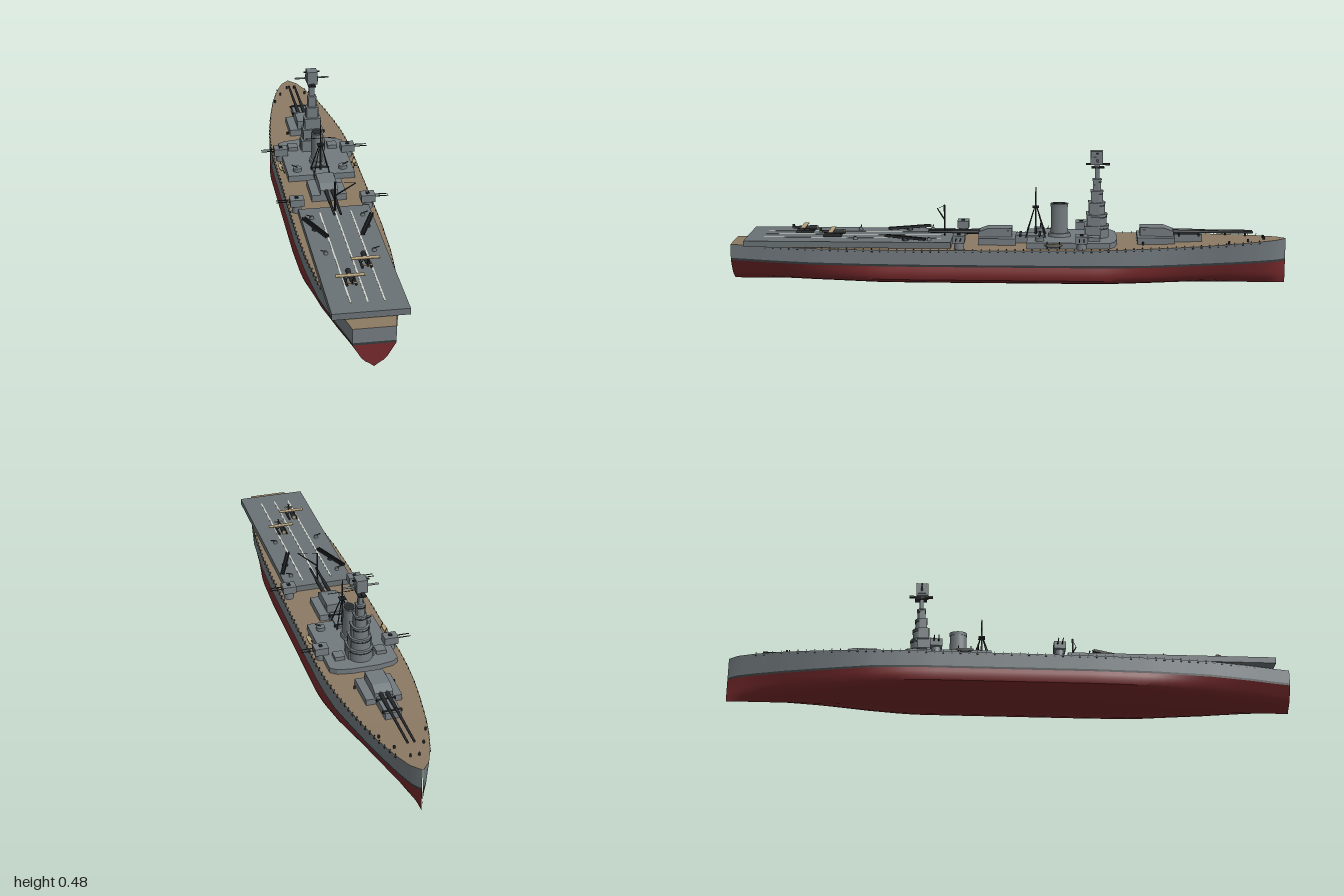
import * as THREE from 'three';
import { mergeGeometries, toCreasedNormals } from 'three/addons/utils/BufferGeometryUtils.js';

export function createModel() {
  const ship = new THREE.Group();
  ship.name = 'warship';
  const mat = (name, color) => Object.assign(new THREE.MeshStandardMaterial({ color }), { name });
  const grey = mat('navy grey', 0x737b7f), plate = mat('flight deck grey', 0x6a7275);
  const wood = mat('wooden deck', 0x8c7a63), red = mat('hull red', 0x76292b);
  const dark = mat('dark metal', 0x26292b), boot = mat('boot topping', 0x343a3c);
  const white = mat('deck marking', 0xd6d6cc), tan = mat('wing tan', 0xb3a07c);

  const add = (name, geo, m, parent = ship) => {
    const mesh = new THREE.Mesh(geo, m);
    mesh.name = name;
    parent.add(mesh);
    return mesh;
  };
  const group = (name, x, y, z, parent = ship) => {
    const g = new THREE.Group();
    g.name = name;
    g.position.set(x, y, z);
    parent.add(g);
    return g;
  };
  // Box given by its ranges
  const box = (x0, x1, y0, y1, z0, z1) =>
    new THREE.BoxGeometry(x1 - x0, y1 - y0, z1 - z0).translate((x0 + x1) / 2, (y0 + y1) / 2, (z0 + z1) / 2);
  // Round bar between two points
  const bar = (a, b, r, r2 = r, n = 8) => {
    const p = new THREE.Vector3(...a), q = new THREE.Vector3(...b), d = q.clone().sub(p);
    const g = new THREE.CylinderGeometry(r2, r, d.length(), n);
    g.applyQuaternion(new THREE.Quaternion().setFromUnitVectors(new THREE.Vector3(0, 1, 0), d.normalize()));
    return g.translate((p.x + q.x) / 2, (p.y + q.y) / 2, (p.z + q.z) / 2);
  };
  // Plan shape raised from y0 to y1 (shape +y points to the bow, -z)
  const raise = (shape, y0, y1) =>
    new THREE.ExtrudeGeometry(shape, { depth: y1 - y0, bevelEnabled: false, curveSegments: 10 })
      .rotateX(-Math.PI / 2).translate(0, y0, 0);

  // ---- Hull ----
  const table = (t) => (z) => {
    let i = 0;
    while (i < t.length - 2 && z > t[i + 1][0]) i++;
    const k = THREE.MathUtils.clamp((z - t[i][0]) / (t[i + 1][0] - t[i][0]), 0, 1);
    return THREE.MathUtils.lerp(t[i][1], t[i + 1][1], k);
  };
  const beam = table([[-1, .002], [-.97, .03], [-.9, .059], [-.8, .088], [-.7, .109], [-.6, .126], [-.5, .14],
    [-.4, .149], [-.3, .153], [.3, .153], [.5, .147], [.7, .131], [.85, .104], [.95, .08], [1, .07]]);
  const deckY = table([[-1, .164], [-.7, .155], [-.3, .145], [.4, .141], [1, .14]]);
  const full = table([[-1, 0], [-.8, .3], [-.35, 1], [.45, 1], [.8, .4], [1, 0]]);
  const flare = table([[-1, .75], [-.5, 1], [1, 1]]);
  const fine = [0, .2, .43, .6, .73, .88, 1], fat = [0, .65, .88, 1.01, 1.045, 1.025, 1];
  const levels = [.001, .012, .022, .035, .05, .068, .082];
  const underwater = (z) => levels.map((y, i) =>
    [beam(z) * flare(z) * THREE.MathUtils.lerp(fine[i], fat[i], full(z)), y]);
  const low = (z) => [beam(z) * flare(z), .082], mid = (z) => [beam(z) * (flare(z) + .03 * (1 - flare(z))), .09];
  const top = (z) => [beam(z), deckY(z)];
  const flip = (pts) => pts.map(([x, y]) => [-x, y]).reverse();
  const stations = [...Array.from({ length: 60 }, (_, i) => -1 + i / 30), 1];
  const skin = (section) => {
    const pos = [], index = [], rows = stations.map(section), n = rows[0].length;
    rows.forEach((row, i) => row.forEach(([x, y], j) => {
      pos.push(x, y, stations[i]);
      if (i < rows.length - 1 && j < n - 1) {
        const a = i * n + j, b = a + n;
        index.push(a, a + 1, b, a + 1, b + 1, b);
      }
    }));
    const g = new THREE.BufferGeometry();
    g.setAttribute('position', new THREE.Float32BufferAttribute(pos, 3));
    g.setIndex(index);
    g.computeVertexNormals();
    return toCreasedNormals(g, .6);
  };
  add('lowerHull', skin((z) => [...flip(underwater(z)).slice(0, -1), ...underwater(z)]), red);
  add('waterlineBand', mergeGeometries([skin((z) => [low(z), mid(z)]), skin((z) => flip([low(z), mid(z)]))]), boot);
  add('upperHull', mergeGeometries([skin((z) => [mid(z), top(z)]), skin((z) => flip([mid(z), top(z)]))]), grey);
  add('mainDeck', skin((z) => [top(z), [-beam(z), deckY(z)]]), wood);
  const transom = (pts) => new THREE.ShapeGeometry(
    new THREE.Shape([...pts, ...flip(pts)].map(([x, y]) => new THREE.Vector2(x, y)))).translate(0, 0, 1);
  add('lowerTransom', transom(underwater(1).slice(0)), red);
  add('transomBand', transom([low(1), mid(1)]), boot);
  add('upperTransom', transom([mid(1), top(1)]), grey);

  // Deck edge fittings, bollards
  const dots = [];
  for (const s of [-1, 1]) {
    for (let z = -.9; z < .9; z += .03) {
      const x = s * beam(z), y = deckY(z);
      dots.push(box(x - .0015, x + .0015, y - .008, y - .004, z - .003, z + .003));
      dots.push(box(x * .985 - .001, x * .985 + .001, y, y + .006, z - .001, z + .001));
    }
    for (const [x, z] of [[.08, -.79], [.015, -.92], [.07, -.485], [.05, -.86]])
      dots.push(new THREE.CylinderGeometry(.004, .004, .01, 8).translate(s * x, deckY(z) + .005, z));
  }
  add('deckFittings', mergeGeometries(dots), dark);

  // ---- Flight deck at the stern ----
  add('flightDeck', box(-.126, .126, .143, .165, .2, .942), plate);
  for (const x of [-.055, 0, .055]) add('deckStripe', box(x - .0025, x + .0025, .164, .1658, .24, .88), white);
  for (const s of [-1, 1]) {
    const c = group('catapult', s * .09, .175, .365);
    c.rotation.y = -s * .38;
    for (const x of [-.005, .005]) add('catapultRail', box(x - .002, x + .002, -.004, .005, -.08, .08), dark, c);
    add('catapultBed', box(-.006, .006, -.003, .001, -.08, .08), dark, c);
    add('catapultPivot', new THREE.CylinderGeometry(.01, .012, .008, 12).translate(0, -.006, 0), dark, c);
    for (const [x, z] of [[.082, .545], [.09, .28]]) {
      add('deckGunMount', new THREE.CylinderGeometry(.006, .008, .01, 10).translate(s * x, .17, z), grey);
      add('deckGun', bar([s * x, .175, z], [s * (x + .018), .18, z], .002), dark);
    }
  }

  // Floatplanes
  for (const [x, z] of [[.036, .635], [-.034, .745]]) {
    const p = group('floatplane', x, .165, z);
    add('fuselage', bar([0, .018, .045], [0, .018, -.045], .004, .009, 10), dark, p);
    add('engine', bar([0, .018, -.043], [0, .018, -.049], .0075, .0075, 10), tan, p);
    add('wing', box(-.048, .048, .023, .0255, -.009, .009), tan, p);
    add('tailplane', box(-.016, .016, .018, .02, .036, .045), tan, p);
    add('tailFin', box(-.001, .001, .018, .03, .036, .046), dark, p);
    for (const s of [-1, 1]) {
      add('planeFloat', bar([s * .015, .005, .03], [s * .015, .005, -.035], .004), dark, p);
      add('floatStrut', bar([s * .015, .005, 0], [s * .006, .02, 0], .0015, .0015, 5), dark, p);
    }
  }

  // ---- Main superstructure block with clipped bow corners ----
  const block = new THREE.Shape([[-.123, .07], [.123, .07], [.123, .365], [.1, .383], [.05, .392],
    [-.05, .392], [-.1, .383], [-.123, .365]].map(([x, y]) => new THREE.Vector2(x, y)));
  add('superstructure', raise(block, .14, .166), grey);

  // ---- Tower ----
  const dShape = (w, back) => {
    const s = new THREE.Shape();
    s.moveTo(-w, -back);
    s.lineTo(w, -back);
    s.lineTo(w, 0);
    s.absarc(0, 0, w, 0, Math.PI, false);
    s.lineTo(-w, -back);
    return s;
  };
  const tower = group('tower', 0, 0, -.32);
  [[.043, .165, .21], [.036, .21, .251], [.029, .251, .293], [.021, .293, .335], [.0145, .335, .377], [.0075, .377, .43]]
    .forEach(([w, y0, y1]) => {
      add('towerTier', raise(dShape(w, w), y0, y1), grey, tower);
      add('tierRim', raise(dShape(w + .002, w + .002), y1 - .005, y1), grey, tower);
      for (const s of [-1, 1]) add('tierSideHouse', box(s * w - .003, s * w + .003, y0, y1 - .008, -w * .3, w * .6), grey, tower);
      add('tierWindows', raise(dShape(w + .0006, w * .3), y1 - .014, y1 - .009), dark, tower);
    });
  add('topPlatform', box(-.014, .014, .416, .42, -.025, .02), dark, tower);
  add('directorHouse', box(-.019, .019, .43, .478, -.02, .024), grey, tower);
  add('directorCollar', box(-.022, .022, .437, .458, -.014, .014), grey, tower);
  add('rangefinder', bar([-.063, .448, 0], [.063, .448, 0], .0035), grey, tower);
  add('upperSight', box(-.03, .03, .47, .474, -.003, .003), dark, tower);
  add('directorVisor', box(-.006, .006, .427, .433, -.045, .04), dark, tower);

  // ---- Funnel ----
  const funnel = group('funnel', 0, 0, -.185);
  const oval = (g) => g.scale(.82, 1, 1.15);
  add('funnelPipe', oval(new THREE.CylinderGeometry(.026, .027, .112, 24).translate(0, .221, 0)), grey, funnel);
  add('funnelCap', oval(new THREE.CylinderGeometry(.028, .027, .012, 24).translate(0, .28, 0)), grey, funnel);
  add('funnelMouth', oval(new THREE.CylinderGeometry(.023, .023, .002, 24).translate(0, .2865, 0)), dark, funnel);
  add('funnelBase', oval(new THREE.CylinderGeometry(.034, .036, .014, 24).translate(0, .172, 0)), grey, funnel);

  // ---- Tripod mast and crane ----
  const mast = group('tripodMast', 0, 0, -.1);
  add('mastPole', bar([0, .165, 0], [0, .345, 0], .004, .002), dark, mast);
  for (const [x, z] of [[.03, .035], [-.03, .035], [.03, -.035], [-.03, -.035]])
    add('mastLeg', bar([x, .165, z], [0, .285, 0], .0025, .0015, 6), dark, mast);
  add('mastYard', bar([-.055, .298, 0], [.055, .298, 0], .0013, .0013, 6), dark, mast);
  add('mastPlatform', box(-.012, .012, .27, .274, -.012, .012), dark, mast);

  const crane = group('crane', 0, .165, .23);
  add('cranePost', bar([0, 0, 0], [0, .112, 0], .003), dark, crane);
  add('craneArm', bar([0, .058, 0], [.07, .112, .02], .003, .002), dark, crane);
  add('craneCable', bar([0, .11, 0], [.07, .112, .02], .0008, .0008, 5), dark, crane);

  // ---- Main gun turrets: dir is the way the barrels point along z ----
  for (const [z, dir, y] of [[-.53, -1, .15], [.04, 1, .143]]) {
    const t = group('mainTurret', 0, y, z);
    add('turretBase', box(-.063, .063, 0, .024, -.068, .065), grey, t);
    const side = new THREE.Shape([[-.055, 0], [.065, 0], [.065, .018], [.03, .031], [-.055, .031]]
      .map(([a, b]) => new THREE.Vector2(a, b)));
    const house = new THREE.ExtrudeGeometry(side, { depth: .064, bevelEnabled: false }).translate(0, 0, -.032);
    add('turretHouse', house.rotateY(-dir * Math.PI / 2).translate(0, .024, 0), grey, t);
    add('turretSight', box(-.037, .037, .042, .048, -dir * .04 - .005, -dir * .04 + .005), grey, t);
    add('forwardHouse', box(-.028, .028, 0, .03, -.168, -.068), grey, t);
    for (const zz of [-.155, -.085]) add('ventBand', box(-.034, .034, .024, .032, zz - .004, zz + .004), dark, t);
    for (const s of [-1, 1]) {
      const x = s * .0115;
      add('gunSleeve', bar([x, .037, dir * .06], [x, .037, dir * .16], .0075, .006, 12), dark, t);
      add('gunBarrel', bar([x, .037, dir * .15], [x, .037, dir * (dir < 0 ? .35 : .25)], .005, .004, 10), dark, t);
    }
  }

  // ---- Secondary turrets and boats on both sides ----
  for (const s of [-1, 1]) {
    for (const z of [-.265, .17]) {
      const t = group('sideTurret', s * .127, 0, z);
      add('sidePedestal', new THREE.CylinderGeometry(.016, .018, .03, 14).translate(0, .155, 0), grey, t);
      add('sideHouse', box(-.025, .025, .168, .195, -.021, .021), grey, t);
      add('sideHatch', box(-.006, .006, .195, .199, -.006, .006), dark, t);
      for (const g of [-.008, .008])
        add('sideBarrel', bar([s * .022, .185, g], [s * .073, .185, g], .0022, .0016, 6), dark, t);
    }
    const boat = group('lifeboat', s * .139, .162, -.165);
    add('boatHull', new THREE.SphereGeometry(1, 12, 6, 0, Math.PI * 2, Math.PI / 2, Math.PI / 2).scale(.008, .01, .032), grey, boat);
    add('boatCover', new THREE.CylinderGeometry(1, 1, .002, 12).scale(.008, 1, .032), tan, boat);
    for (const z of [-.022, .022])
      add('davit', bar([-s * .012, -.02, z], [0, .012, z], .0013, .0013, 5), dark, boat);
    add('lightGunTub', new THREE.CylinderGeometry(.016, .016, .014, 14).translate(s * .085, .172, -.115), grey);
    add('lightGun', bar([s * .085, .18, -.115], [s * .105, .19, -.115], .002), dark);
    add('deckHouse', box(s * .075 - .018, s * .075 + .018, .165, .18, -.33, -.29), grey);
  }
  return ship;
}
